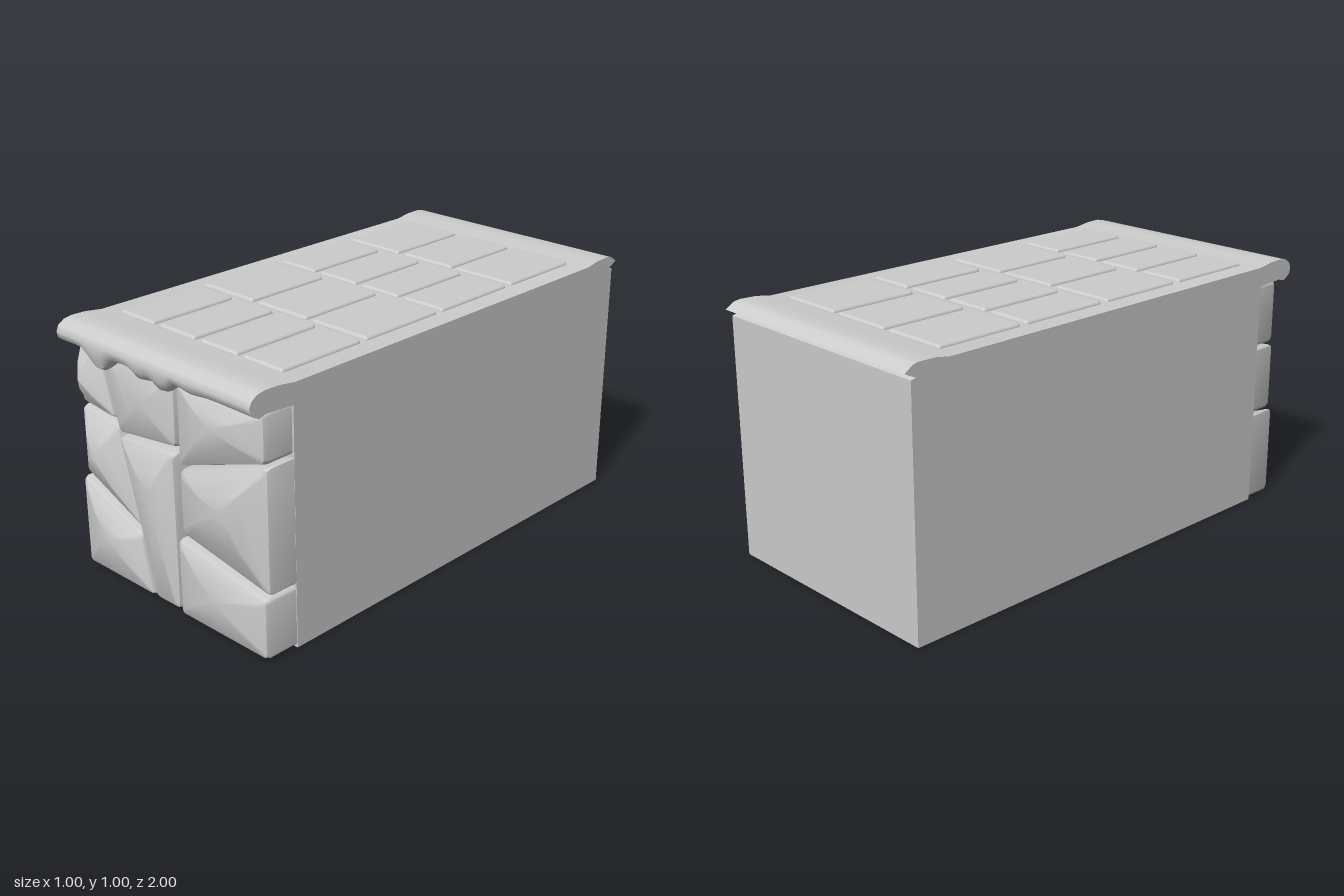
import * as THREE from 'three';
import { toCreasedNormals } from 'three/addons/utils/BufferGeometryUtils.js';
import { RoundedBoxGeometry } from 'three/addons/geometries/RoundedBoxGeometry.js';

const V2 = (x, y) => new THREE.Vector2(x, y);

function buildGeometry(positions, index, crease) {
  const g = new THREE.BufferGeometry();
  g.setAttribute('position', new THREE.Float32BufferAttribute(positions, 3));
  g.setIndex(index);
  return toCreasedNormals(g, crease);
}

// Move every edge of a convex counter-clockwise polygon inwards by d
function inset(poly, d) {
  const n = poly.length;
  return poly.map((p, i) => {
    const a = p.clone().sub(poly[(i + n - 1) % n]).normalize();
    const b = poly[(i + 1) % n].clone().sub(p).normalize();
    const na = V2(-a.y, a.x), nb = V2(-b.y, b.x);
    return p.clone().addScaledVector(na.clone().add(nb), d / (1 + na.dot(nb)));
  });
}

// Replace each corner by a short curve
function roundCorners(poly, r, steps = 3) {
  const n = poly.length, out = [];
  poly.forEach((p, i) => {
    const toward = (q) => p.clone().add(q.clone().sub(p).setLength(r));
    const curve = new THREE.QuadraticBezierCurve(
      toward(poly[(i + n - 1) % n]), p, toward(poly[(i + 1) % n]));
    out.push(...curve.getPoints(steps));
  });
  return out;
}

// Wall stone: rounded prism with a bevelled rim rising to an off-centre peak
function stoneGeometry(corners, peak, rimZ) {
  const poly = corners.map(([x, y]) => V2(x, y));
  const tip = V2(peak[0], peak[1]);
  const layers = [
    [roundCorners(poly, 0.015), 0.8],
    [roundCorners(poly, 0.015), rimZ - 0.025],
    [roundCorners(inset(poly, 0.006), 0.015), rimZ - 0.008],
    [roundCorners(inset(poly, 0.02), 0.015), rimZ],
  ];
  const inner = layers[3][0].map((p) => p.clone().lerp(tip, 0.5));
  layers.push([inner, rimZ + (peak[2] - rimZ) * 0.65]);
  const n = inner.length, pos = [], idx = [];
  layers.forEach(([ring, z]) => ring.forEach((p) => pos.push(p.x, p.y, z)));
  pos.push(...peak);
  for (let k = 0; k < layers.length; k++) {
    for (let i = 0; i < n; i++) {
      const j = (i + 1) % n, a = k * n + i, b = k * n + j;
      if (k === layers.length - 1) idx.push(a, b, layers.length * n);
      else idx.push(a, b, b + n, a, b + n, a + n);
    }
  }
  return buildGeometry(pos, idx, 0.6);
}

// Top slab: side profile swept across x, its front edge dripping downwards
function slabGeometry() {
  const edge = new THREE.SplineCurve([
    [-0.5, 0.91], [-0.38, 0.91], [-0.35, 0.888], [-0.3, 0.857], [-0.26, 0.868],
    [-0.21, 0.903], [-0.13, 0.908], [-0.07, 0.883], [-0.01, 0.893], [0.04, 0.873],
    [0.08, 0.885], [0.12, 0.91], [0.2, 0.903], [0.3, 0.911], [0.5, 0.91],
  ].map(([x, y]) => V2(x, y))).getPoints(84);
  const profile = (d) => [
    [-0.975, 0.91], [-0.975, 0.945], [-0.955, 0.95], [-1, 0.972], [-0.965, 0.995],
    [-0.94, 1], [-0.87, 0.998], [-0.81, 0.988], [0.8, 0.988], [0.87, 0.998],
    [0.93, 1], [0.965, 0.994], [0.99, 0.978], [1, 0.955], [0.995, 0.5 * (0.955 + d)],
    [0.98, d + 0.01], [0.96, d], [0.925, d + 0.008], [0.81, 0.91],
  ];
  const pos = [], idx = [];
  edge.forEach((e) => profile(e.y).forEach(([z, y]) => pos.push(e.x, y, z)));
  const n = profile(0.91).length, last = (edge.length - 1) * n;
  for (let k = 0; k < edge.length - 1; k++) {
    for (let i = 0; i < n; i++) {
      const a = k * n + i, b = k * n + (i + 1) % n;
      idx.push(a, b, b + n, a, b + n, a + n);
    }
  }
  // Flat ends
  const outline = profile(0.91).map(([z, y]) => V2(-z, y));
  for (const [a, b, c] of THREE.ShapeUtils.triangulateShape(outline, [])) {
    idx.push(last + a, last + b, last + c, a, c, b);
  }
  return buildGeometry(pos, idx, 0.7);
}

export function createModel() {
  const model = new THREE.Group();
  model.name = 'stoneBlock';
  const stone = new THREE.MeshStandardMaterial({ color: 0xcccccc });
  stone.name = 'grey stone';
  const add = (name, geometry, parent = model) => {
    const mesh = new THREE.Mesh(geometry, stone);
    mesh.name = name;
    parent.add(mesh);
    return mesh;
  };

  // Plain block behind the wall
  add('body', new THREE.BoxGeometry(1, 0.91, 1.785)).position.set(0, 0.455, -0.0825);
  add('topSlab', slabGeometry());

  // Front wall: corners, peak, rim depth
  const wall = new THREE.Group();
  wall.name = 'frontWall';
  model.add(wall);
  const stones = {
    topLeftStone: [[[-0.497, 0.915], [-0.497, 0.665], [-0.307, 0.645], [-0.385, 0.915]], [-0.44, 0.78, 0.97], 0.92],
    topMiddleStone: [[[-0.362, 0.915], [-0.27, 0.612], [0.042, 0.65], [0.047, 0.915]], [-0.1, 0.78, 0.965], 0.935],
    topRightStone: [[[0.06, 0.915], [0.06, 0.588], [0.492, 0.735], [0.492, 0.915]], [0.28, 0.81, 0.98], 0.94],
    middleLeftStone: [[[-0.497, 0.652], [-0.497, 0.385], [-0.178, 0.25], [-0.288, 0.628]], [-0.38, 0.5, 0.98], 0.925],
    centreStone: [[[-0.264, 0.603], [-0.1, 0.01], [0.035, 0.01], [0.037, 0.628]], [-0.06, 0.46, 0.985], 0.945],
    middleRightStone: [[[0.053, 0.573], [0.053, 0.325], [0.499, 0.248], [0.499, 0.727]], [0.33, 0.53, 0.998], 0.935],
    bottomLeftStone: [[[-0.497, 0.372], [-0.497, 0.008], [-0.108, 0.008], [-0.17, 0.237]], [-0.32, 0.19, 0.985], 0.945],
    bottomRightStone: [[[0.05, 0.312], [0.05, 0.008], [0.497, 0.008], [0.497, 0.24]], [0.27, 0.16, 0.985], 0.955],
  };
  for (const [name, spec] of Object.entries(stones)) add(name, stoneGeometry(...spec), wall);

  // Paving on top: alternating rows of three and four tiles
  const paving = new THREE.Group();
  paving.name = 'paving';
  model.add(paving);
  const three = [[-0.42, -0.155], [-0.13, 0.122], [0.148, 0.417]];
  const four = [[-0.42, -0.232], [-0.205, -0.015], [0.01, 0.2], [0.225, 0.417]];
  const rows = [[-0.79, -0.42, three], [-0.395, -0.02, four], [0.005, 0.38, three], [0.402, 0.78, four]];
  for (const [z0, z1, spans] of rows) {
    for (const [x0, x1] of spans) {
      const tile = add('tile', new RoundedBoxGeometry(x1 - x0, 0.04, z1 - z0, 3, 0.013), paving);
      tile.position.set((x0 + x1) / 2, 0.98, (z0 + z1) / 2);
    }
  }
  return model;
}
